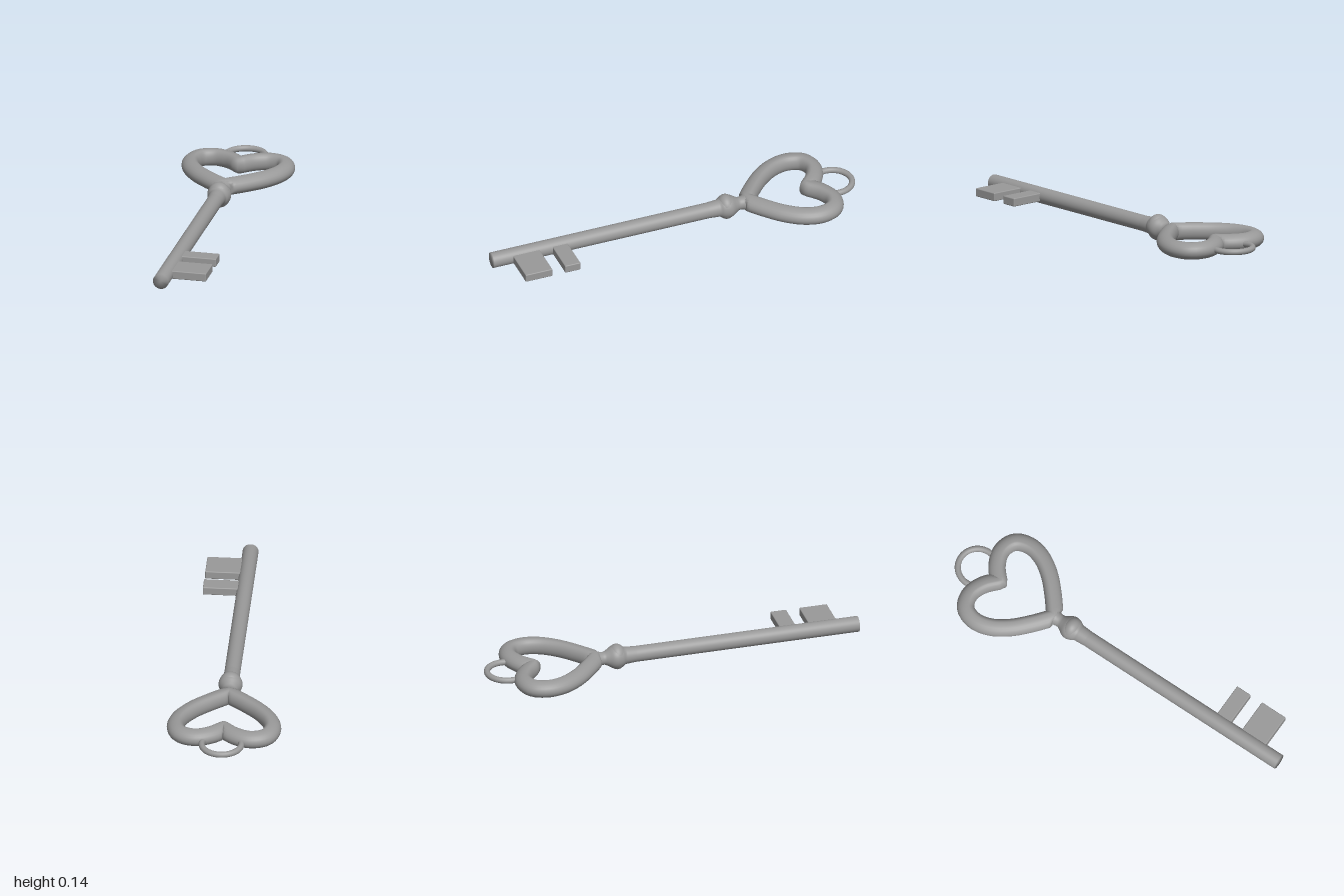
import * as THREE from 'three';
import { RoundedBoxGeometry } from 'three/addons/geometries/RoundedBoxGeometry.js';

const material = new THREE.MeshStandardMaterial({ color: 0x999999, side: THREE.DoubleSide });
const AXIS_Y = 0.07;

function add(group, name, geometry, x = 0, y = AXIS_Y, z = 0) {
  const mesh = new THREE.Mesh(geometry, material);
  mesh.name = name;
  mesh.position.set(x, y, z);
  group.add(mesh);
  return mesh;
}

// Closed heart-shaped sweep along its top ridge: wide outside, narrow inside,
// mitred on the x = 0 plane and cut flat where it meets the neck
function heartGeometry(outer, inner, height, sides) {
  const half = new THREE.CatmullRomCurve3([
    [0, -0.415], [0.085, -0.484], [0.168, -0.565], [0.222, -0.65], [0.237, -0.728],
    [0.212, -0.795], [0.145, -0.819], [0.07, -0.793], [0, -0.732],
  ].map(([x, z]) => new THREE.Vector3(x, 0, z))).getSpacedPoints(48);
  const mirrored = half.slice(1, -1).reverse().map((p) => new THREE.Vector3(-p.x, 0, p.z));
  const path = [...half, ...mirrored];
  const n = path.length;
  const positions = [];
  const index = [];
  path.forEach((p, i) => {
    const t = path[(i + 1) % n].clone().sub(path[(i + n - 1) % n]).normalize();
    const corner = Math.abs(p.x) < 1e-6;
    for (let j = 0; j < sides; j++) {
      const a = (j / sides) * Math.PI * 2;
      // the path runs so that a positive offset points out of the heart
      const offset = Math.cos(a) * (Math.cos(a) > 0 ? outer : inner);
      let x = p.x - t.z * offset;
      // keep each half on its own side of the mirror plane
      if (corner || x * p.x < 0) x = 0;
      positions.push(x, height * Math.sin(a), Math.min(p.z + t.x * offset, -0.39));
      const i2 = (i + 1) % n;
      const j2 = (j + 1) % sides;
      const q = [i * sides + j, i2 * sides + j, i2 * sides + j2, i * sides + j2];
      index.push(q[0], q[1], q[2], q[0], q[2], q[3]);
    }
  });
  const geometry = new THREE.BufferGeometry();
  geometry.setAttribute('position', new THREE.Float32BufferAttribute(positions, 3));
  geometry.setIndex(index);
  geometry.computeVertexNormals();
  return geometry;
}

export function createModel() {
  const key = new THREE.Group();
  key.name = 'key';

  // Turned neck, bulb and collar running into the long shaft with its flat end
  const turned = new THREE.SplineCurve([
    [0.036, -0.43], [0.041, -0.4], [0.036, -0.383], [0.034, -0.362], [0.043, -0.343], [0.058, -0.318],
    [0.062, -0.295], [0.056, -0.27], [0.046, -0.252], [0.044, -0.235], [0.041, -0.19],
  ].map(([r, z]) => new THREE.Vector2(r, z))).getPoints(50);
  const end = [[0.041, 0.5], [0.041, 1], [0, 1]].map(([r, z]) => new THREE.Vector2(r, z));
  add(key, 'shaft', new THREE.LatheGeometry([...turned, ...end], 40).rotateX(Math.PI / 2));
  const bulb = add(key, 'bulb', new THREE.SphereGeometry(1, 32, 20), 0, AXIS_Y, -0.293);
  bulb.scale.set(0.06, 0.068, 0.05);

  // Heart-shaped bow
  add(key, 'heartBow', heartGeometry(0.058, 0.032, 0.045, 24));

  // Hanging ring, its ends sunk into the lobes of the heart
  const arc = Math.PI * 1.35;
  const ring = new THREE.TorusGeometry(0.102, 0.016, 16, 64, arc)
    .rotateZ(Math.PI / 2 - arc / 2)
    .rotateX(-Math.PI / 2);
  add(key, 'hangingRing', ring, 0, AXIS_Y, -0.882);

  // Two teeth on the left side
  for (const [name, z0, z1] of [['narrowTooth', 0.592, 0.677], ['wideTooth', 0.747, 0.895]]) {
    add(key, name, new RoundedBoxGeometry(0.195, 0.044, z1 - z0, 3, 0.005), 0.1175, AXIS_Y, (z0 + z1) / 2);
  }
  return key;
}
